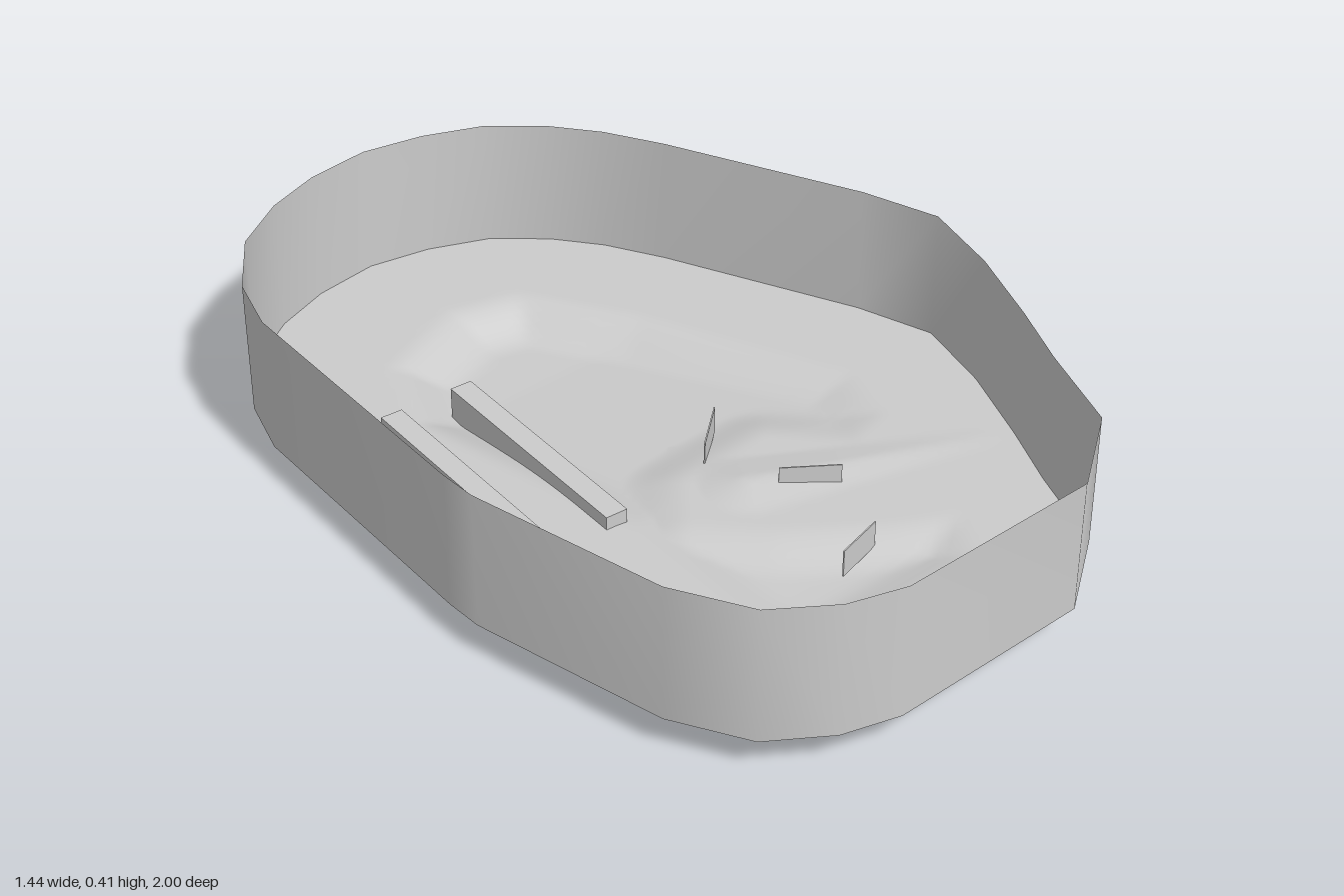
import * as THREE from 'three';

const OUTLINE = [[-.07, -1], [.08, -.97], [.22, -.91], [.33, -.81], [.41, -.7], [.48, -.56], [.67, -.09], [.72, .1],
  [.66, .3], [.57, .5], [.49, .66], [.4, .87], [.21, 1], [-.28, 1], [-.41, .96], [-.54, .87], [-.63, .7],
  [-.72, .24], [-.72, .15], [-.67, -.54], [-.62, -.69], [-.51, -.84], [-.37, -.93], [-.23, -.98]];

// Edge of the sunken area: large hollow at the back, S-bend, smaller hollow in front
const HOLLOW = [[-.4, -.4], [-.3, -.62], [-.05, -.72], [.13, -.67], [.28, -.4], [.4, -.1], [.48, .1], [.42, .27],
  [.28, .3], [.15, .15], [-.08, .16], [-.17, .27], [-.05, .4], [.15, .55], [.28, .62], [.2, .77], [-.3, .77],
  [-.32, .6], [-.3, .2]];

const mat = new THREE.MeshStandardMaterial({ color: 0xcccccc, side: THREE.DoubleSide });
const smooth = THREE.MathUtils.smoothstep;

function segmentDistance(x, z, [ax, az], [bx, bz]) {
  const dx = bx - ax, dz = bz - az;
  const t = THREE.MathUtils.clamp(((x - ax) * dx + (z - az) * dz) / (dx * dx + dz * dz), 0, 1);
  return { d: Math.hypot(x - ax - t * dx, z - az - t * dz), t };
}

// Distance inside the hollow's edge, or 0 outside it
function insideDistance(x, z) {
  let inside = false, best = Infinity;
  HOLLOW.forEach((a, i) => {
    const b = HOLLOW[(i + 1) % HOLLOW.length];
    if ((a[1] > z) !== (b[1] > z) && x < a[0] + (z - a[1]) * (b[0] - a[0]) / (b[1] - a[1])) inside = !inside;
    best = Math.min(best, segmentDistance(x, z, a, b).d);
  });
  return inside ? best : 0;
}

const DEPTH = [[-1, .056], [-.4, .056], [.18, .022], [.57, .03], [1, .03]];
function depthAt(z) {
  const i = DEPTH.findIndex((p, k) => k > 0 && z <= p[0]);
  const [a, b] = [DEPTH[i - 1], DEPTH[i]];
  return THREE.MathUtils.mapLinear(z, a[0], b[0], a[1], b[1]);
}

function rimY(x) { return .091 + .008 * x; }

function floorY(x, z) {
  // spike-shaped ridge running out to the wall
  const { d, t } = segmentDistance(x, z, [.0, .25], [.56, .49]);
  const ridge = .018 * Math.max(0, 1 - d / (.1 - .08 * t)) * (1 - t);
  return rimY(x) - depthAt(z) * smooth(insideDistance(x, z), 0, .15) + ridge;
}

// Rows of equal length, each a closed loop of [x, y, z]
function loft(name, rows) {
  const n = rows[0].length, index = [];
  for (let r = 0; r < rows.length - 1; r++) for (let i = 0; i < n; i++) {
    const j = (i + 1) % n, a = r * n + i, b = r * n + j;
    index.push(a, a + n, b, b, a + n, b + n);
  }
  const g = new THREE.BufferGeometry();
  g.setAttribute('position', new THREE.Float32BufferAttribute(rows.flat(2), 3));
  g.setIndex(index);
  g.computeVertexNormals();
  const mesh = new THREE.Mesh(g, mat);
  mesh.name = name;
  return mesh;
}

// Upright box or plate running from point a to point b
function bar(name, [ax, az], [bx, bz], y0, y1, width) {
  const mesh = new THREE.Mesh(new THREE.BoxGeometry(Math.hypot(bx - ax, bz - az), y1 - y0, width), mat);
  mesh.position.set((ax + bx) / 2, (y0 + y1) / 2, (az + bz) / 2);
  mesh.rotation.y = -Math.atan2(bz - az, bx - ax);
  mesh.name = name;
  return mesh;
}

export function createModel() {
  const model = new THREE.Group();
  model.name = 'contouredTray';

  // Surrounding wall, open at the top
  const top = ([x, z]) => [x, .403 + .008 * Math.abs(x), z];
  model.add(loft('outerWall', [OUTLINE.map(top), OUTLINE.map(([x, z]) => [x, rimY(x), z])]));

  // Sculpted floor, as rings shrinking toward the middle
  const edge = [];
  OUTLINE.forEach(([x, z], i) => {
    const [u, v] = OUTLINE[(i + 1) % OUTLINE.length];
    const steps = Math.max(3, Math.ceil(Math.hypot(u - x, v - z) / .03));
    for (let k = 0; k < steps; k++) edge.push([x + (u - x) * k / steps, z + (v - z) * k / steps]);
  });
  const rings = [], count = 44;
  for (let r = 0; r <= count; r++) {
    const s = r / count;
    rings.push(edge.map(([x, z]) => [x * s, floorY(x * s, z * s), z * s]));
  }
  model.add(loft('sculptedFloor', rings));

  // Pair of parallel rails passing through the floor
  model.add(bar('outerRail', [-.489, .175], [-.439, -.42], .015, .13, .053));
  model.add(bar('innerRail', [-.297, .175], [-.247, -.42], 0, .12, .053));

  // Small upright plates
  [[[-.01, .13], [.1, .04]], [[.05, .3], [.16, .38]], [[-.05, .6], [.07, .57]]]
    .forEach(([a, b], i) => model.add(bar('uprightPlate' + (i + 1), a, b, .075, .14, .003)));

  return model;
}
